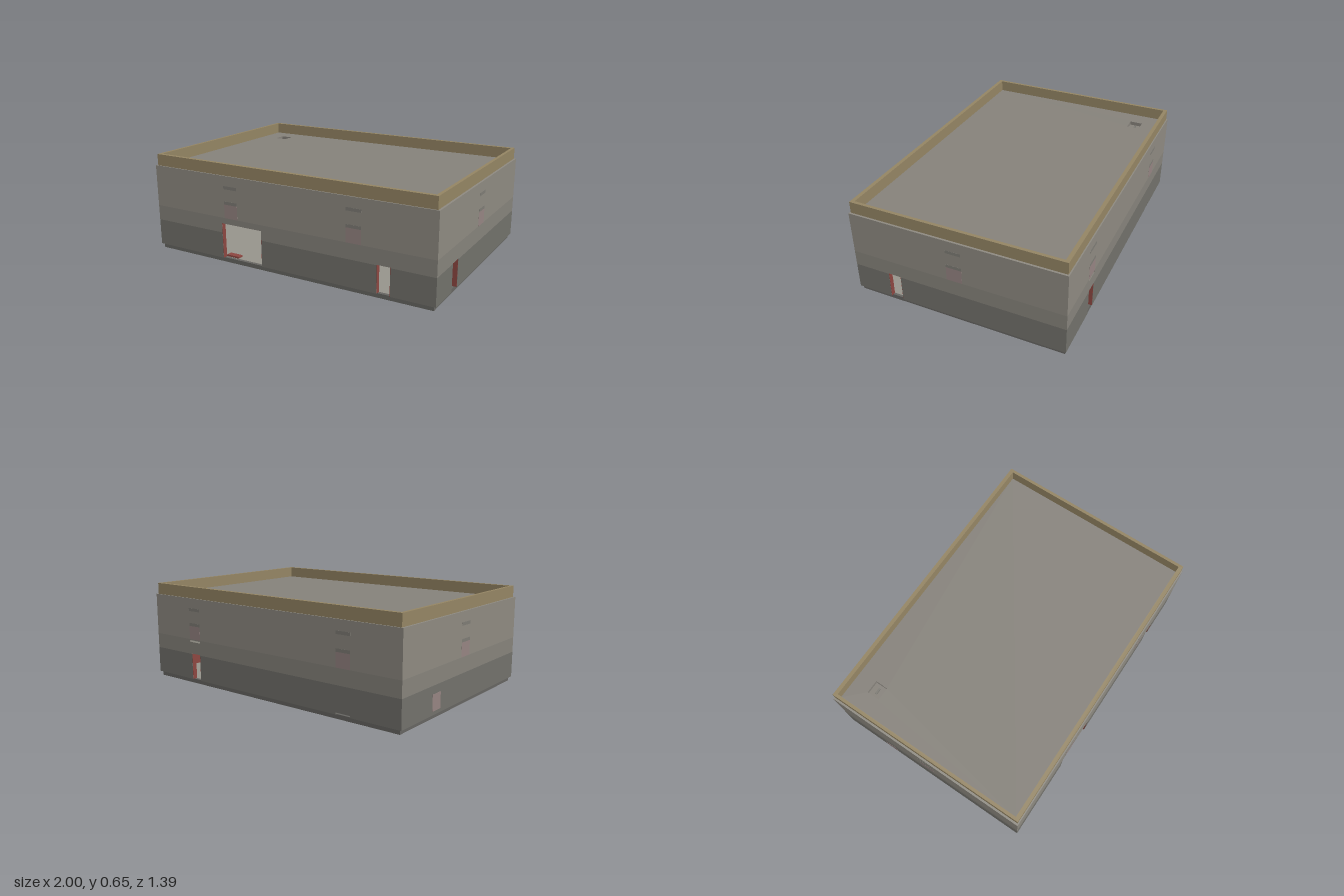
import * as THREE from 'three';

const HX = 1, HZ = 0.693, T = 0.03;        // wall half sizes and thickness
const FLOOR = 0.028, ROOF = 0.575, TOP = 0.65;

const mat = (color) => new THREE.MeshStandardMaterial({ color });
const M = {
  lower: mat(0x71706a), middle: mat(0x85827a), upper: mat(0x8d8980),
  base: mat(0x666561), roof: mat(0x85817a), trim: mat(0x938463),
  red: mat(0x8c4640), pink: mat(0x948381), dark: mat(0x7d7b74), floor: mat(0x96938b),
};

// Box given by its min and max corners
function block(parent, name, material, x0, x1, y0, y1, z0, z1) {
  const mesh = new THREE.Mesh(new THREE.BoxGeometry(x1 - x0, y1 - y0, z1 - z0), material);
  mesh.position.set((x0 + x1) / 2, (y0 + y1) / 2, (z0 + z1) / 2);
  mesh.name = name;
  parent.add(mesh);
  return mesh;
}

// Horizontal wall band with openings [u0, u1, y0, y1] left free
function band(parent, name, material, half, y0, y1, z0, z1, openings) {
  const cuts = [y0, y1];
  openings.forEach((o) => cuts.push(o[2], o[3]));
  const rows = [...new Set(cuts)].filter((y) => y >= y0 && y <= y1).sort((a, b) => a - b);
  for (let i = 0; i < rows.length - 1; i++) {
    const mid = (rows[i] + rows[i + 1]) / 2;
    let u = -half;
    openings
      .filter((o) => o[2] < mid && o[3] > mid)
      .sort((a, b) => a[0] - b[0])
      .forEach((o) => {
        block(parent, name, material, u, o[0], rows[i], rows[i + 1], z0, z1);
        u = o[1];
      });
    block(parent, name, material, u, half, rows[i], rows[i + 1], z0, z1);
  }
}

// Whole side: three outer bands, red inner dado, faint wall panels
function makeSide(name, angle, half, dist, openings, panels, lowPanels = []) {
  const g = new THREE.Group();
  g.name = name;
  const zi = dist - T;
  band(g, 'lowerWall', M.lower, half, FLOOR, 0.2, zi, dist, openings);
  band(g, 'middleWall', M.middle, half, 0.2, 0.3, zi, dist, openings);
  band(g, 'upperWall', M.upper, half, 0.3, ROOF, zi, dist, openings);
  band(g, 'innerDado', M.red, half - T, FLOOR, 0.15, zi - 0.003, zi, openings);
  panels.forEach((u) => {
    block(g, 'tintedPanel', M.pink, u - 0.05, u + 0.05, 0.3, 0.39, dist - 0.01, dist + 0.0008);
    [0.39, 0.49].forEach((y) =>
      block(g, 'panelShade', M.dark, u - 0.05, u + 0.05, y, y + 0.02, dist - 0.01, dist + 0.0008));
  });
  lowPanels.forEach((u) =>
    block(g, 'lowPanel', M.pink, u - 0.045, u + 0.045, 0.05, 0.15, dist - 0.01, dist + 0.0008));
  // Red lining on the jambs of the doors
  openings.filter((o) => o[3] - o[2] > 0.1).forEach((o) => {
    [o[0], o[1] - 0.002].forEach((u) =>
      block(g, 'doorJamb', M.red, u, u + 0.002, o[2], o[3], zi, dist - 0.001));
  });
  g.rotation.y = angle;
  return g;
}

// Rectangle path centred on (cx, cy)
function rect(Type, hx, hy, cx = 0, cy = 0) {
  const p = new Type();
  p.moveTo(cx - hx, cy - hy);
  p.lineTo(cx + hx, cy - hy);
  p.lineTo(cx + hx, cy + hy);
  p.lineTo(cx - hx, cy + hy);
  p.closePath();
  return p;
}

// Horizontal plate with a rectangular hole
function plate(name, material, shape, hole, y0, y1) {
  shape.holes.push(hole);
  const geo = new THREE.ExtrudeGeometry(shape, { depth: y1 - y0, bevelEnabled: false });
  geo.rotateX(-Math.PI / 2);
  const mesh = new THREE.Mesh(geo, material);
  mesh.position.y = y0;
  mesh.name = name;
  return mesh;
}

export function createModel() {
  const model = new THREE.Group();
  model.name = 'warehouse';

  // Base slab and floor
  block(model, 'baseSlab', M.base, -0.985, 0.985, 0, FLOOR, -0.682, 0.682);
  block(model, 'floor', M.floor, -0.97, 0.97, FLOOR - 0.002, FLOOR + 0.001, -0.663, 0.663);

  // Four sides with doors and slots
  const doorTop = 0.203;
  model.add(
    makeSide('frontSide', 0, HX, HZ,
      [[-0.46, -0.155, FLOOR, 0.262], [0.64, 0.725, FLOOR, doorTop]], [-0.385, 0.49]),
    makeSide('rightSide', Math.PI / 2, HZ - T, HX,
      [[-0.46, -0.375, FLOOR, doorTop]], [0]),
    makeSide('backSide', Math.PI, HX, HZ,
      [[-0.65, -0.57, FLOOR, doorTop], [-0.665, -0.565, 0.282, 0.295], [0.565, 0.665, FLOOR, 0.04]],
      [-0.615, 0.615]),
    makeSide('leftSide', -Math.PI / 2, HZ - T, HX, [], [0], [-0.33]),
  );

  // Low kerb behind the wide door
  block(model, 'kerb', M.red, -0.46, -0.365, FLOOR, 0.04, 0.62, 0.66);

  // Roof with a sunken hatch and its handle
  const hx = -0.803, hz = -0.498, hs = 0.043;
  model.add(plate('roof', M.roof, rect(THREE.Shape, 0.97, 0.665),
    rect(THREE.Path, hs, hs, hx, -hz), 0.545, ROOF));
  block(model, 'hatchLid', M.roof, hx - hs, hx + hs, 0.54, 0.55, hz - hs, hz + hs);
  block(model, 'hatchHandle', M.dark, hx - 0.02, hx + 0.02, 0.55, 0.562, hz - 0.006, hz + 0.006);

  // Parapet around the roof
  model.add(plate('parapet', M.trim, rect(THREE.Shape, 0.987, 0.685),
    rect(THREE.Path, 0.967, 0.66), ROOF - 0.005, TOP));

  return model;
}
